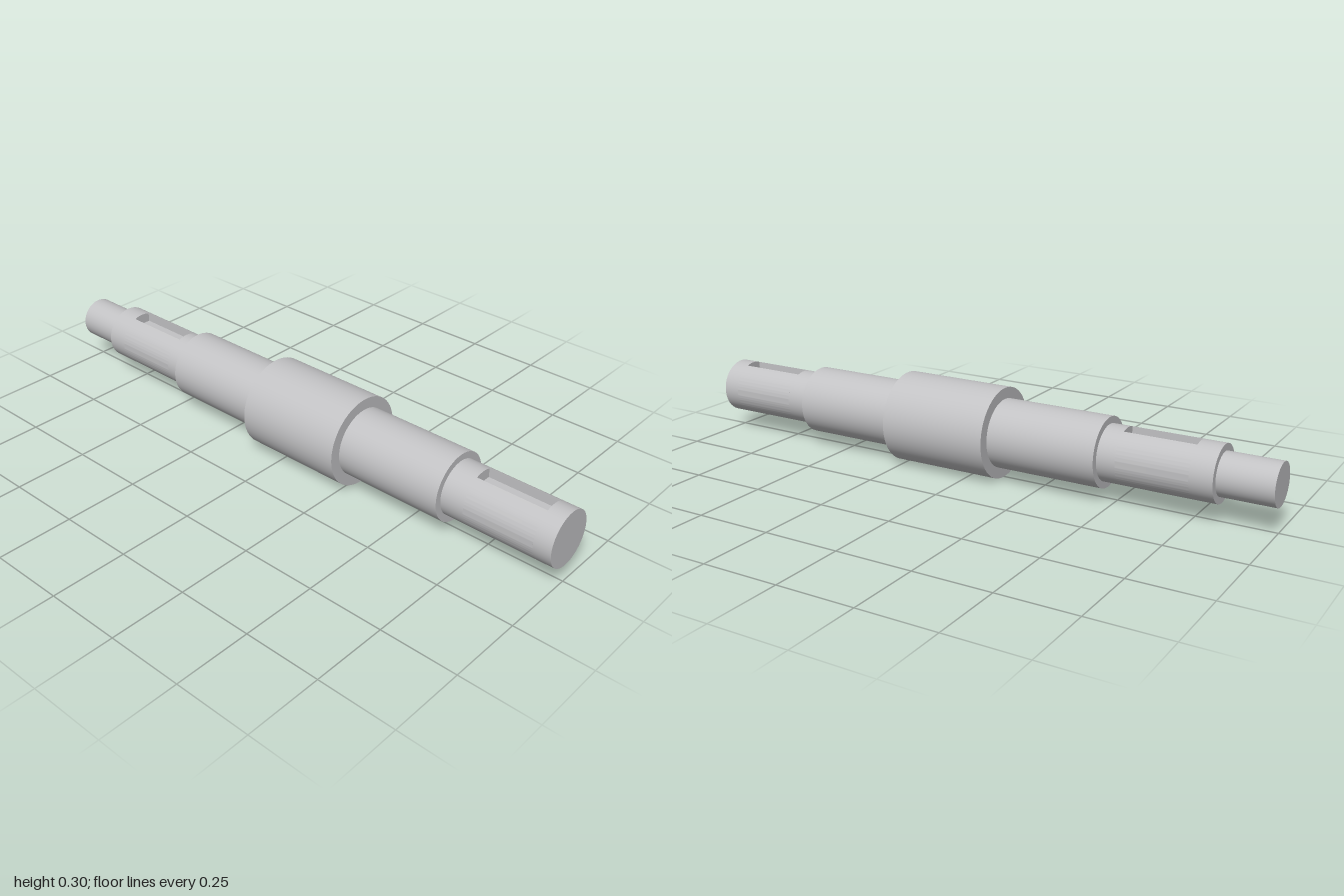
import * as THREE from 'three';
import { toCreasedNormals } from 'three/addons/utils/BufferGeometryUtils.js';

const AXIS_Y = 0.148;
const SLOT_HALF_WIDTH = 0.031;
const SLOT_DEPTH = 0.035;

// Plain round length of shaft from x0 to x1
function roundSection(x0, x1, r) {
  const g = new THREE.CylinderGeometry(r, r, x1 - x0, 96);
  g.rotateZ(Math.PI / 2);
  g.translate((x0 + x1) / 2, 0, 0);
  return g;
}

// Round length with a square keyway cut in its top
function slottedSection(x0, x1, r) {
  const w = SLOT_HALF_WIDTH, edge = Math.acos(w / r);
  const s = new THREE.Shape();
  s.absarc(0, 0, r, Math.PI - edge, 2 * Math.PI + edge, false);
  s.lineTo(w, r - SLOT_DEPTH);
  s.lineTo(-w, r - SLOT_DEPTH);
  s.closePath();
  const g = new THREE.ExtrudeGeometry(s, { depth: x1 - x0, bevelEnabled: false, curveSegments: 84 });
  g.rotateY(Math.PI / 2);
  g.translate(x0, 0, 0);
  return toCreasedNormals(g, 0.5);
}

export function createModel() {
  const steel = new THREE.MeshStandardMaterial({ color: 0xc2c2c4 });
  steel.name = 'steel grey';
  const model = new THREE.Group();
  model.name = 'steppedShaft';

  const add = (parent, name, geometry) => {
    const mesh = new THREE.Mesh(geometry, steel);
    mesh.name = name;
    parent.add(mesh);
  };

  // Plain steps along the shaft: name, start, end, radius
  for (const [name, x0, x1, r] of [
    ['endJournal', -1, -0.828, 0.068],
    ['rightShoulder', -0.465, -0.1, 0.112],
    ['centreCollar', -0.1, 0.268, 0.148],
    ['leftShoulder', 0.268, 0.632, 0.112],
  ]) add(model, name, roundSection(x0, x1, r));

  // Keyed seats: name, start, slot start, slot end, end
  for (const [name, x0, k0, k1, x1] of [
    ['rightKeyedSeat', -0.828, -0.755, -0.525, -0.465],
    ['leftKeyedSeat', 0.632, 0.71, 0.942, 1],
  ]) {
    const seat = new THREE.Group();
    seat.name = name;
    add(seat, 'innerLand', roundSection(x0, k0, 0.09));
    add(seat, 'keyway', slottedSection(k0, k1, 0.09));
    add(seat, 'outerLand', roundSection(k1, x1, 0.09));
    model.add(seat);
  }

  model.children.forEach((part) => { part.position.y = AXIS_Y; });
  return model;
}
